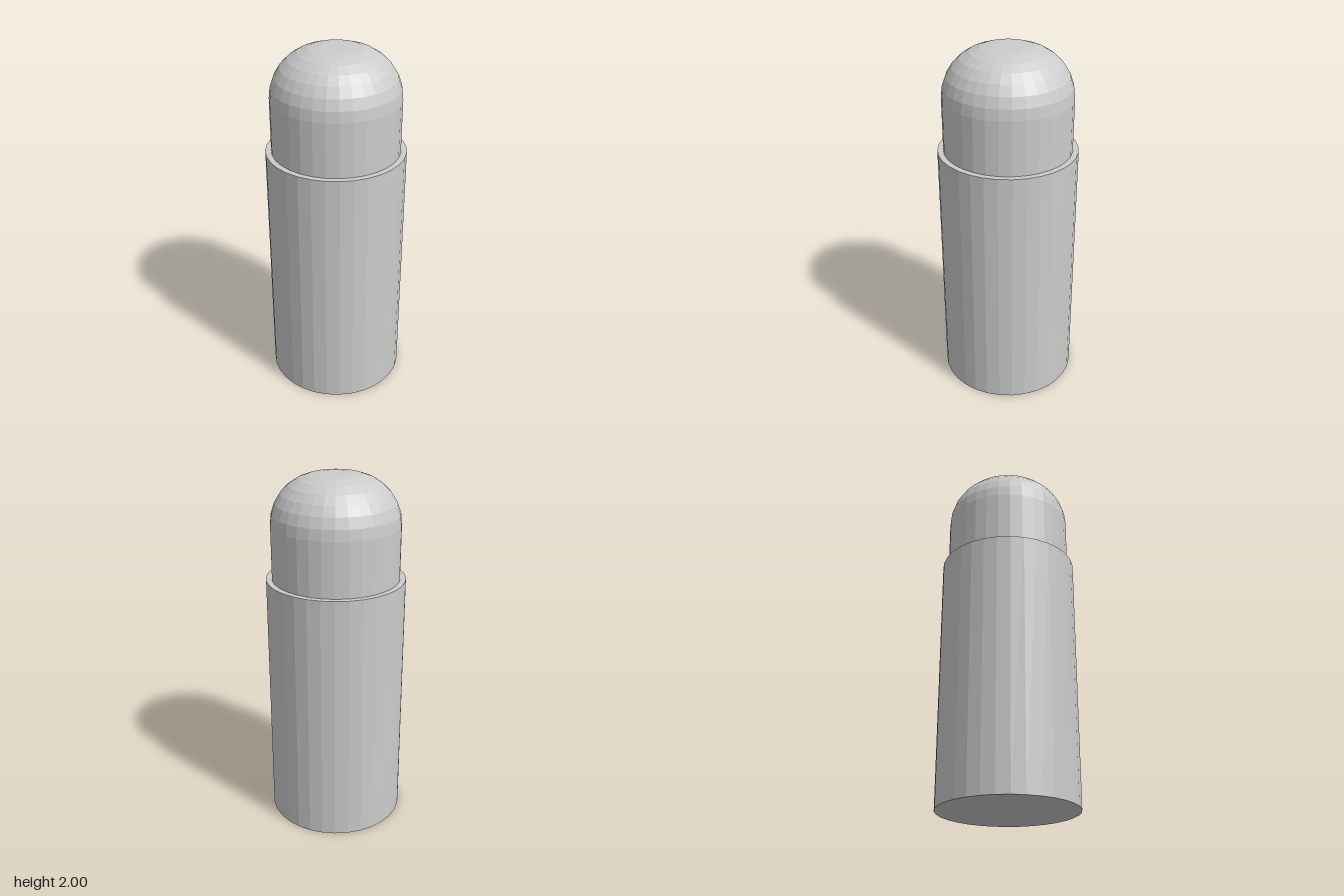
import * as THREE from 'three';

const SIDES = 32;

export function createModel() {
  const group = new THREE.Group();
  const material = new THREE.MeshStandardMaterial({ color: 0xcccccc, flatShading: true });

  const add = (name, geometry, y = 0) => {
    const mesh = new THREE.Mesh(geometry, material);
    mesh.name = name;
    mesh.position.y = y;
    group.add(mesh);
  };

  // Wide cylindrical body with a flat shoulder
  const bodyHeight = 1.433;
  add('body', new THREE.CylinderGeometry(0.384, 0.384, bodyHeight, SIDES), bodyHeight / 2);

  // Narrower cap: straight wall, quarter-round shoulder, small flat top
  const flat = 0.085, round = 0.267, steps = 7;
  const profile = [new THREE.Vector2(flat + round, bodyHeight)];
  for (let i = 0; i <= steps; i++) {
    const a = (i / steps) * Math.PI / 2;
    profile.push(new THREE.Vector2(flat + round * Math.cos(a), 2 - round + round * Math.sin(a)));
  }
  profile.push(new THREE.Vector2(0, 2));
  add('domedCap', new THREE.LatheGeometry(profile, SIDES));

  return group;
}
